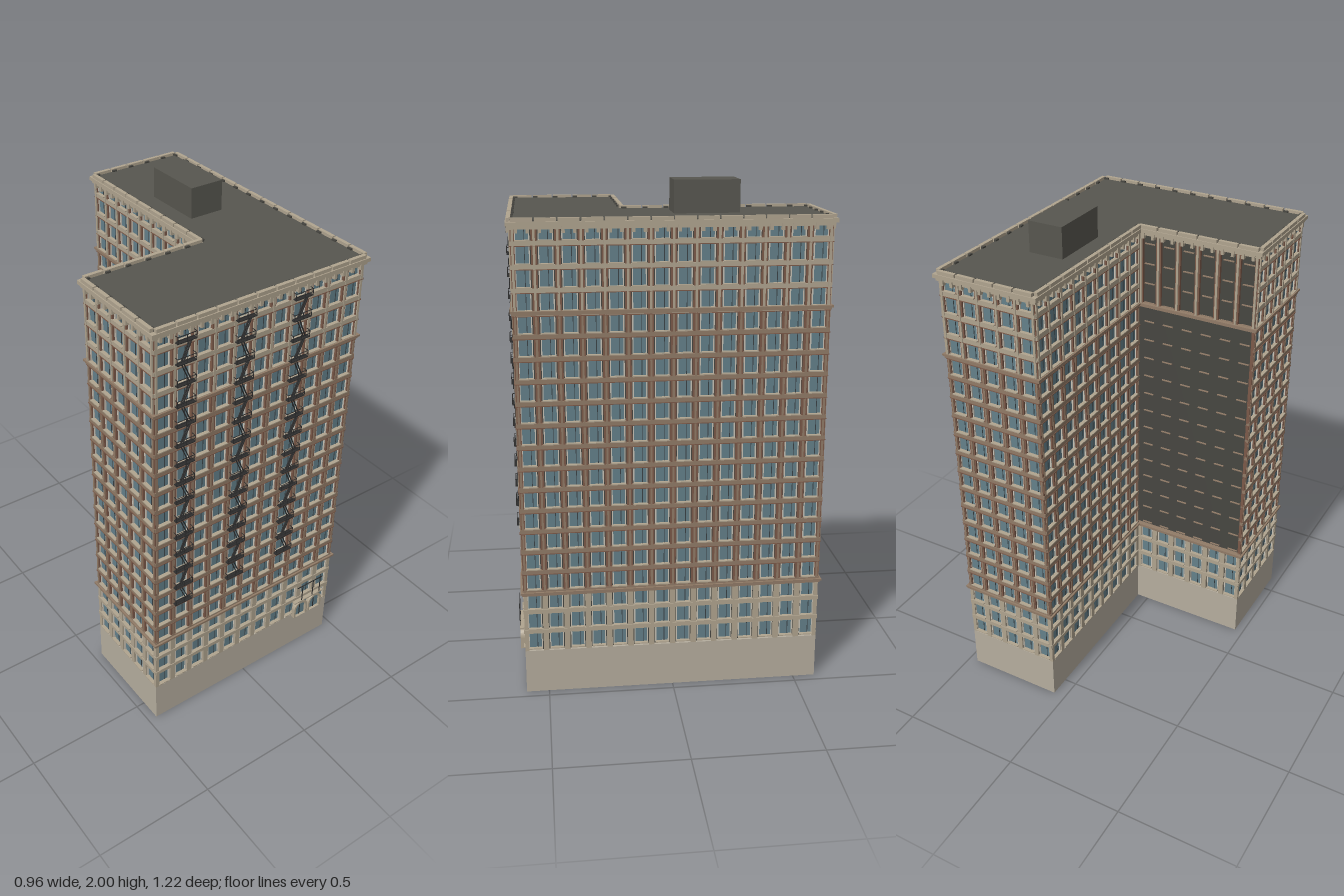
import * as THREE from 'three';
import { mergeGeometries } from 'three/addons/utils/BufferGeometryUtils.js';

const W = 0.4625, D = 0.59, IX = 0.0525, IZ = 0.16; // L-shaped footprint
const BASE = 0.18, FLOOR = 0.085, FLOORS = 20;

const COLORS = {
  stone: 0xb5ad9e, trim: 0xb0a48f, band: 0x917b67, brick: 0x7c5a49, dark: 0x474641,
  glass: 0x64808a, frame: 0x3b4347, roof: 0x57564f, iron: 0x2c2c2c, pale: 0xc9c4b8,
};

// Outer walls: centre, heading, length, number of bays
const WALLS = [
  { x: 0, z: D, a: 0, len: 2 * W, n: 11 },
  { x: W, z: 0, a: Math.PI / 2, len: 2 * D, n: 14 },
  { x: (W + IX) / 2, z: -D, a: Math.PI, len: W - IX, n: 5 },
  { x: IX, z: (IZ - D) / 2, a: -Math.PI / 2, len: IZ + D, n: 9 },
  { x: (IX - W) / 2, z: IZ, a: Math.PI, len: W + IX, n: 6, blind: true },
  { x: -W, z: (IZ + D) / 2, a: -Math.PI / 2, len: D - IZ, n: 5 },
];

// L-shaped slab from y0 to y1, grown outwards by o
function slab(o, y0, y1) {
  const pts = [
    [-W - o, D + o], [W + o, D + o], [W + o, -D - o],
    [IX - o, -D - o], [IX - o, IZ - o], [-W - o, IZ - o],
  ].map(([x, z]) => new THREE.Vector2(x, -z));
  const g = new THREE.ExtrudeGeometry(new THREE.Shape(pts), { depth: y1 - y0, bevelEnabled: false });
  return g.rotateX(-Math.PI / 2).translate(0, y0, 0);
}

export function createModel() {
  const model = new THREE.Group();
  const parts = {};
  const put = (name, color, geo) => {
    (parts[name] ??= { color, list: [] }).list.push(geo.index ? geo.toNonIndexed() : geo);
  };

  // Main masses
  put('base', COLORS.stone, slab(0, 0, BASE));
  put('core', COLORS.dark, slab(-0.012, BASE, 1.86));
  put('roof', COLORS.roof, slab(-0.006, 1.86, 1.876));
  put('penthouse', COLORS.roof, new THREE.BoxGeometry(0.145, 0.13, 0.25).translate(0.2075, 1.935, -0.15));
  put('penthouse', COLORS.roof, new THREE.BoxGeometry(0.145, 0.13, 0.25).translate(0.2075, 1.935, -0.1475));

  // Belt courses and roof cornice
  put('beltCourse', COLORS.band, slab(0.011, 0.428, 0.436));
  put('beltCourse', COLORS.band, slab(0.006, 0.42, 0.428));
  put('beltCourse', COLORS.trim, slab(0.011, 1.542, 1.55));
  put('beltCourse', COLORS.band, slab(0.006, 1.534, 1.542));
  put('cornice', COLORS.trim, slab(0.008, 1.845, 1.857));
  put('cornice', COLORS.trim, slab(0.016, 1.857, 1.872));

  for (const wall of WALLS) {
    const m = new THREE.Matrix4().makeRotationY(wall.a).setPosition(wall.x, 0, wall.z);
    // Box on this wall: along u, from y0 to y1, from depth d0 to d1
    const box = (name, color, u, w, y0, y1, d0, d1) => put(name, color,
      new THREE.BoxGeometry(w, y1 - y0, d1 - d0)
        .translate(u, (y0 + y1) / 2, (d0 + d1) / 2).applyMatrix4(m));
    const pitch = wall.len / wall.n;

    // Parapet pieces around the roof edge
    for (let i = 0; i < wall.n; i++) {
      const u = (i + 0.5) * pitch - wall.len / 2;
      box('parapet', COLORS.trim, u, pitch * 0.92, 1.872, 1.886, -0.003, 0.012);
      box('parapetBlock', COLORS.dark, u + pitch / 2 - 0.012, 0.02, 1.872, 1.882, -0.012, -0.003);
      for (const s of [-0.25, 0.25]) {
        box('corniceBracket', COLORS.trim, u + s * pitch, 0.012, 1.832, 1.857, -0.004, 0.013);
      }
    }

    // Piers, split into lower, middle and upper storeys
    for (let i = 0; i <= wall.n; i++) {
      const u = i * pitch - wall.len / 2;
      const end = i === 0 ? 1 : i === wall.n ? -1 : 0;
      const v = u + end * 0.008;
      const w = end ? 0.016 : 0.022;
      box('stonePier', COLORS.trim, v, w, BASE, 0.42, -0.013, 0);
      if (!wall.blind) {
        box('brickPier', COLORS.brick, v, w, 0.436, 1.534, -0.013, 0);
        box('pierStrip', COLORS.band, v, 0.008, 0.436, 1.534, 0, 0.003);
      }
      box('upperPier', wall.blind ? COLORS.dark : COLORS.brick, v, w, 1.55, 1.845, -0.013, 0);
      box('upperPierStrip', COLORS.trim, v, 0.009, 1.55, 1.845, 0, 0.005);
    }

    for (let f = 0; f < FLOORS; f++) {
      const y = BASE + f * FLOOR;
      const low = f < 3, high = f >= 16;
      const blind = wall.blind && !low;

      // Spandrel beam under each storey
      if (f > 0 && !blind) {
        box(low ? 'stoneSpandrel' : high ? 'upperSpandrel' : 'brickSpandrel',
          low || high ? COLORS.trim : COLORS.band, 0, wall.len, y - 0.008, y + 0.008, -0.013, 0.003);
        if (!low) box('spandrelEdge', COLORS.brick, 0, wall.len, y - 0.011, y - 0.008, -0.013, 0.005);
      }

      for (let i = 0; i < wall.n; i++) {
        const u = (i + 0.5) * pitch - wall.len / 2;
        if (blind) {
          // Plain wall with sills only
          box('blindSill', COLORS.band, u, 0.045, y + 0.008, y + 0.012, -0.013, -0.006);
          continue;
        }
        // Window: glass, jambs, centre bar and sill
        put('windowGlass', COLORS.glass, new THREE.PlaneGeometry(0.05, 0.063)
          .translate(u, y + 0.0425, -0.0105).applyMatrix4(m));
        for (const s of [-1, 1]) {
          box('windowJamb', low ? COLORS.pale : COLORS.frame, u + s * 0.0255, 0.004,
            y + 0.009, y + 0.074, -0.012, -0.005);
        }
        box('windowBar', COLORS.frame, u + 0.008, 0.0025, y + 0.01, y + 0.074, -0.011, -0.009);
        box('windowSill', low ? COLORS.trim : COLORS.brick, u, 0.055, y + 0.008, y + 0.012, -0.012, 0.005);
      }
    }
  }

  // Fire escapes on the front
  const bar = (name, x, y, z, w, h, d, tilt = 0) => put(name, COLORS.iron,
    new THREE.BoxGeometry(w, h, d).rotateZ(tilt).translate(x, y, z));
  for (const x of [-0.34, -0.087, 0.167]) {
    for (let f = 5; f < FLOORS; f++) {
      const y = BASE + f * FLOOR + 0.012;
      bar('fireEscapeLanding', x, y, D + 0.01, 0.08, 0.003, 0.02);
      for (const h of [0.013, 0.026]) bar('fireEscapeRail', x, y + h, D + 0.019, 0.08, 0.002, 0.002);
      for (const s of [-1, 1]) {
        bar('fireEscapeRail', x + s * 0.039, y + 0.026, D + 0.01, 0.002, 0.002, 0.02);
        bar('fireEscapePost', x + s * 0.039, y + 0.013, D + 0.019, 0.002, 0.026, 0.002);
      }
      bar('fireEscapePost', x, y + 0.013, D + 0.019, 0.002, 0.026, 0.002);
      if (f < FLOORS - 1) {
        for (const s of [0, 0.01]) {
          bar('fireEscapeStair', x + s, y + FLOOR / 2, D + 0.008, 0.0025, 0.092, 0.006, f % 2 ? 0.4 : -0.4);
        }
      }
    }
  }

  // Pair of arched openings with a small balcony above, near the front corner
  for (const x of [0.3, 0.38]) {
    const arch = (r, h) => new THREE.Shape().moveTo(-r, 0).lineTo(r, 0).lineTo(r, h)
      .absarc(0, h, r, 0, Math.PI, false);
    const ring = arch(0.037, 0.045);
    ring.holes.push(new THREE.Path(arch(0.028, 0.045).getPoints(8)));
    put('archSurround', COLORS.trim, new THREE.ExtrudeGeometry(ring,
      { depth: 0.018, bevelEnabled: false, curveSegments: 8 }).translate(x, 0.17, D));
    put('archGlass', COLORS.glass, new THREE.ShapeGeometry(arch(0.029, 0.045), 8).translate(x, 0.17, D + 0.006));
    bar('archBar', x, 0.207, D + 0.008, 0.003, 0.072, 0.003);
  }
  put('balconyLedge', COLORS.trim, new THREE.BoxGeometry(0.16, 0.006, 0.02).translate(0.34, 0.258, D + 0.01));
  bar('balconyRail', 0.34, 0.345, D + 0.018, 0.14, 0.003, 0.003);
  for (const x of [0.3, 0.36, 0.4]) bar('balconyPost', x, 0.305, D + 0.018, 0.003, 0.085, 0.003);

  // One mesh per kind of part and colour
  for (const [name, { color, list }] of Object.entries(parts)) {
    const mesh = new THREE.Mesh(mergeGeometries(list), new THREE.MeshStandardMaterial({ color }));
    mesh.name = name;
    model.add(mesh);
  }
  return model;
}
